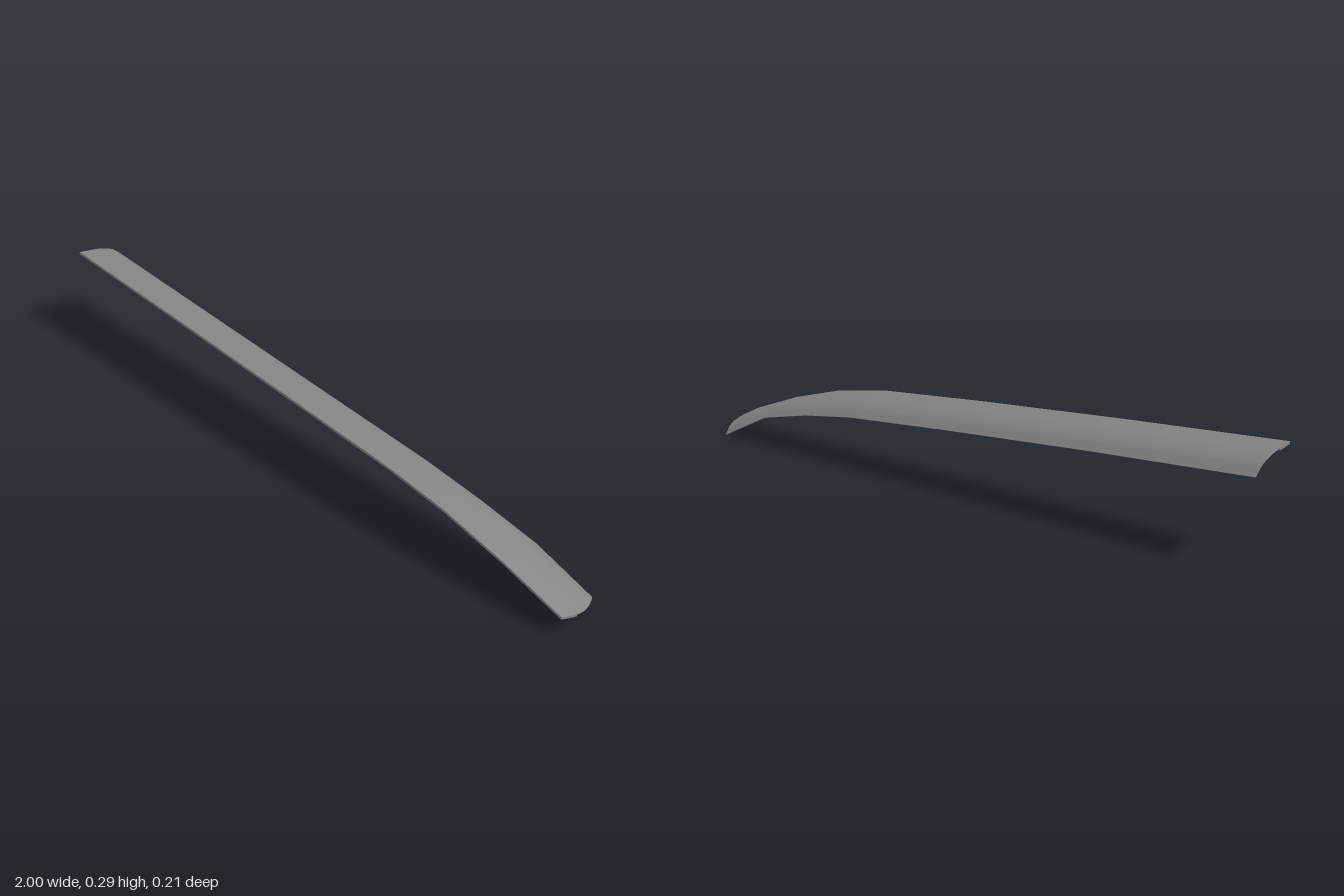
import * as THREE from 'three';
import { toCreasedNormals } from 'three/addons/utils/BufferGeometryUtils.js';

// Front and back edge along the strip: [xFront, y, z, xBack, y, z, bulge of the end in x]
const STATIONS = [
  [-1, 0.288, 0.105, -1, 0.229, -0.048, 0],
  [-0.5, 0.262, 0.101, -0.5, 0.203, -0.05, 0],
  [0, 0.232, 0.096, 0, 0.173, -0.056, 0],
  [0.4, 0.204, 0.09, 0.4, 0.146, -0.064, 0],
  [0.6, 0.175, 0.084, 0.595, 0.121, -0.07, 0.004],
  [0.8, 0.124, 0.076, 0.78, 0.085, -0.079, 0.012],
  [0.987, 0.06, 0.065, 0.955, 0.002, -0.104, 0.024],
];

// Cross-section: fraction of the width against fraction of the drop
const SECTION = new THREE.CatmullRomCurve3(
  [[0, 0], [0.3, 0.13], [0.55, 0.28], [0.8, 0.55], [0.9, 0.76], [1, 1]]
    .map(([w, d]) => new THREE.Vector3(w, d, 0)));

// Places along the section with the sheet thickness: a thick hem in front, thin behind it
const SAMPLES = [];
for (let j = 0; j <= 15; j++) {
  SAMPLES.push([j / 15, j <= 3 ? 0.007 : 0.0015]);
  if (j === 3) SAMPLES.push([0.203, 0.0015]);
}

// Closed ring: outer skin from front to back, then inner skin from back to front
function ring([fx, fy, fz, bx, by, bz, bulge]) {
  const outer = [], inner = [];
  for (const [t, thickness] of SAMPLES) {
    const p = SECTION.getPoint(t), tan = SECTION.getTangent(t);
    const push = bulge * Math.sin(Math.PI * p.x);
    const x = fx + (bx - fx) * p.x + push;
    const y = fy + (by - fy) * p.y - push * 0.33;
    const z = fz + (bz - fz) * p.x;
    const n = new THREE.Vector2((by - fy) * tan.y, -(bz - fz) * tan.x).normalize();
    outer.push([x, y, z]);
    inner.push([x, y - n.y * thickness, z - n.x * thickness]);
  }
  return [...outer, ...inner.reverse()];
}

function stripGeometry() {
  const rings = STATIONS.map(ring);
  const n = rings[0].length, last = (rings.length - 1) * n;
  const index = [];
  for (let i = 0; i < rings.length - 1; i++) {
    for (let j = 0; j < n; j++) {
      const k = (j + 1) % n;
      const a = i * n + j, b = a + n, c = i * n + k, d = c + n;
      index.push(a, b, d, a, d, c);
    }
  }
  // End caps between the outer and inner skin
  for (let j = 0; j < SAMPLES.length - 1; j++) {
    const o = j, p = j + 1, q = n - 1 - j, r = n - 2 - j;
    index.push(o, p, q, p, r, q);
    index.push(last + o, last + q, last + p, last + p, last + q, last + r);
  }
  const geo = new THREE.BufferGeometry();
  geo.setAttribute('position', new THREE.Float32BufferAttribute(rings.flat(2), 3));
  geo.setIndex(index);
  return toCreasedNormals(geo, 0.7);
}

export function createModel() {
  const group = new THREE.Group();
  group.name = 'curvedTrim';
  const strip = new THREE.Mesh(stripGeometry(),
    new THREE.MeshStandardMaterial({ color: 0x848484, side: THREE.DoubleSide }));
  strip.name = 'trimStrip';
  group.add(strip);
  return group;
}
